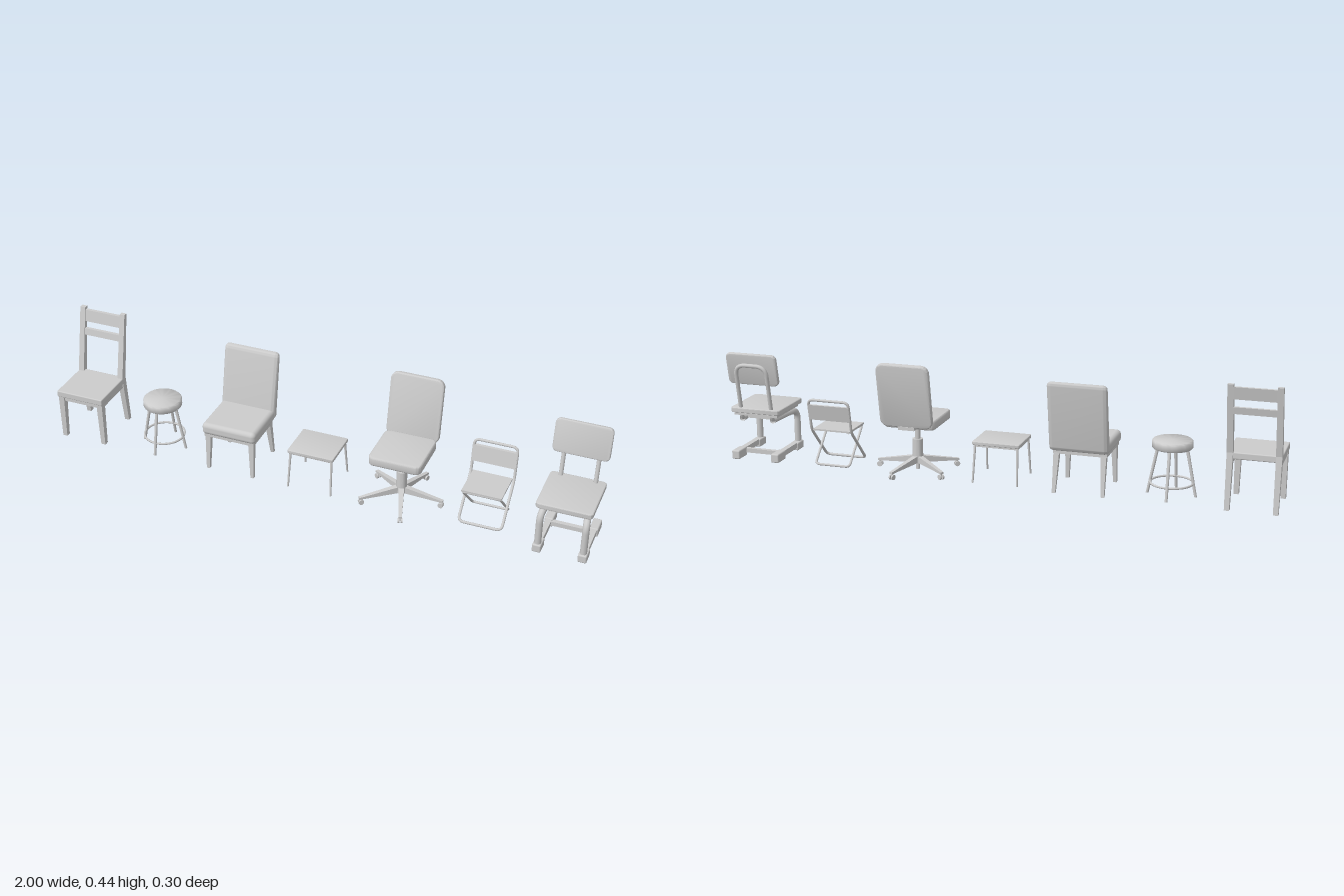
import * as THREE from 'three';
import { RoundedBoxGeometry } from 'three/addons/geometries/RoundedBoxGeometry.js';
import { toCreasedNormals } from 'three/addons/utils/BufferGeometryUtils.js';

const mat = new THREE.MeshStandardMaterial({ color: 0xcccccc, side: THREE.DoubleSide });
const V = (p) => new THREE.Vector3(...p);

function add(g, name, geo, pos = [0, 0, 0], rx = 0) {
  const m = new THREE.Mesh(geo, mat);
  m.name = name;
  m.position.set(...pos);
  m.rotation.x = rx;
  g.add(m);
  return m;
}

const box = (g, name, x, y, z, w, h, d) => add(g, name, new THREE.BoxGeometry(w, h, d), [x, y, z]);

// Upright member from a (bottom) to b (top) with level ends and its own size at each end
function strut(g, name, a, b, sa, sb, round = false) {
  const geo = round ? new THREE.CylinderGeometry(0.5, 0.5, 1, 16) : new THREE.BoxGeometry(1, 1, 1);
  const p = geo.attributes.position;
  for (let i = 0; i < p.count; i++) {
    const up = p.getY(i) > 0, c = up ? b : a, s = up ? sb : sa;
    p.setXYZ(i, c[0] + p.getX(i) * s[0], c[1], c[2] + p.getZ(i) * s[1]);
  }
  geo.computeVertexNormals();
  return add(g, name, geo);
}

// Bent pipe: straight runs joined by rounded corners of radius c
function pipe(g, name, pts, r, c = 0.02, closed = false) {
  const P = pts.map(V), n = P.length, path = new THREE.CurvePath();
  const toward = (i, j) => {
    const d = P[j].clone().sub(P[i]), l = d.length();
    return P[i].clone().addScaledVector(d, Math.min(c, l * 0.49) / l);
  };
  let last = closed ? toward(0, 1) : P[0];
  const corners = [];
  for (let i = 1; i < (closed ? n : n - 1); i++) corners.push(i);
  if (closed) corners.push(0);
  for (const i of corners) {
    const s = toward(i, (i + n - 1) % n), e = toward(i, (i + 1) % n);
    path.add(new THREE.LineCurve3(last, s));
    path.add(new THREE.QuadraticBezierCurve3(s, P[i], e));
    last = e;
  }
  if (!closed) path.add(new THREE.LineCurve3(last, P[n - 1]));
  return add(g, name, new THREE.TubeGeometry(path, 120, r, 10, closed));
}

// Rounded rectangle w x h, centred, thickness t along z with softened edges
function slab(w, h, t, r, bevel) {
  const x = w / 2 - bevel, y = h / 2 - bevel, q = Math.max(r - bevel, 0.001), s = new THREE.Shape();
  s.absarc(x - q, y - q, q, 0, Math.PI / 2);
  s.absarc(-x + q, y - q, q, Math.PI / 2, Math.PI);
  s.absarc(-x + q, -y + q, q, Math.PI, Math.PI * 1.5);
  s.absarc(x - q, -y + q, q, Math.PI * 1.5, Math.PI * 2);
  const geo = new THREE.ExtrudeGeometry(s, {
    depth: t - 2 * bevel, bevelSize: bevel, bevelThickness: bevel, bevelSegments: 3, curveSegments: 8 });
  geo.translate(0, 0, bevel - t / 2);
  return toCreasedNormals(geo, 0.6);
}

// Four legs mirrored in x; front and rear run from foot [x, z] to top [x, z]
function legs(g, front, rear, h, sa, sb, round) {
  for (const s of [-1, 1]) for (const [name, l] of [['frontLeg', front], ['rearLeg', rear]])
    strut(g, name, [s * l[0], 0, l[1]], [s * l[2], h, l[3]], sa, sb, round);
}

function woodenChair(g) {
  add(g, 'seat', new RoundedBoxGeometry(0.184, 0.024, 0.18, 2, 0.004), [0, 0.183, 0.009]);
  for (const s of [-1, 1]) {
    strut(g, 'frontLeg', [s * 0.08, 0, 0.083], [s * 0.078, 0.172, 0.083], [0.017, 0.018], [0.022, 0.024]);
    strut(g, 'rearLeg', [s * 0.081, 0, -0.1], [s * 0.081, 0.195, -0.075], [0.017, 0.018], [0.021, 0.024]);
    strut(g, 'backPost', [s * 0.081, 0.195, -0.075], [s * 0.081, 0.437, -0.122], [0.021, 0.024], [0.02, 0.016]);
    box(g, 'sideApron', s * 0.08, 0.163, 0.004, 0.014, 0.018, 0.16);
  }
  box(g, 'frontApron', 0, 0.163, 0.083, 0.15, 0.018, 0.014);
  // Back rails follow the lean of the posts
  for (const [y0, y1] of [[0.385, 0.428], [0.333, 0.357]]) {
    const z = (y) => -0.075 - (y - 0.195) * 0.194;
    strut(g, 'backRail', [0, y0, z(y0)], [0, y1, z(y1)], [0.15, 0.012], [0.15, 0.012]);
  }
}

function roundStool(g) {
  const seat = [[0, 0.168], [0.066, 0.168], [0.07, 0.172], [0.07, 0.193], [0.066, 0.197], [0, 0.197]];
  add(g, 'seat', toCreasedNormals(new THREE.LatheGeometry(seat.map((p) => new THREE.Vector2(...p)), 40), 0.9));
  for (let i = 0; i < 4; i++) {
    const x = Math.round(Math.cos(i * Math.PI / 2)), z = Math.round(Math.sin(i * Math.PI / 2));
    strut(g, 'leg', [x * 0.084, 0, z * 0.084], [x * 0.05, 0.17, z * 0.05], [0.01, 0.01], [0.012, 0.012], true);
  }
  add(g, 'footRing', new THREE.TorusGeometry(0.073, 0.004, 8, 40), [0, 0.045, 0], Math.PI / 2);
}

function paddedChair(g) {
  add(g, 'seatCushion', new RoundedBoxGeometry(0.206, 0.045, 0.185, 4, 0.016), [0, 0.168, 0.001]);
  box(g, 'seatFrame', 0, 0.143, 0, 0.19, 0.014, 0.17);
  // Backrest thins and leans back toward the top
  const back = new RoundedBoxGeometry(0.208, 0.25, 0.04, 4, 0.015);
  const p = back.attributes.position;
  for (let i = 0; i < p.count; i++) {
    const t = p.getY(i) / 0.25 + 0.5;
    p.setZ(i, p.getZ(i) * (1 - 0.45 * t) - 0.088 - 0.047 * t);
  }
  add(g, 'backrest', toCreasedNormals(back, 0.6), [0, 0.275, 0]);
  legs(g, [0.086, 0.08, 0.083, 0.072], [0.086, -0.1, 0.083, -0.075], 0.14, [0.012, 0.012], [0.02, 0.02]);
}

function lowStool(g) {
  add(g, 'seat', slab(0.172, 0.15, 0.013, 0.006, 0.003), [0, 0.141, 0], Math.PI / 2);
  for (const s of [-1, 1]) {
    box(g, 'sideApron', s * 0.075, 0.131, 0, 0.007, 0.009, 0.13);
    box(g, 'crossApron', 0, 0.131, s * 0.062, 0.15, 0.009, 0.007);
  }
  legs(g, [0.081, 0.082, 0.077, 0.064], [0.081, -0.082, 0.077, -0.064], 0.137, [0.007, 0.007], [0.009, 0.009], true);
}

function swivelChair(g) {
  add(g, 'seat', slab(0.19, 0.19, 0.034, 0.022, 0.006), [0, 0.193, 0.001], Math.PI / 2);
  add(g, 'backrest', slab(0.194, 0.238, 0.019, 0.028, 0.005), [0, 0.303, -0.124], -0.185);
  box(g, 'backBracket', 0, 0.183, -0.09, 0.06, 0.012, 0.05);
  box(g, 'seatMount', 0, 0.172, 0, 0.07, 0.012, 0.07);
  const col = [[0, 0.004], [0.007, 0.004], [0.007, 0.03], [0.019, 0.03], [0.019, 0.117], [0.01, 0.117], [0.01, 0.176], [0, 0.176]];
  add(g, 'column', toCreasedNormals(new THREE.LatheGeometry(col.map((p) => new THREE.Vector2(...p)), 24), 0.5));
  // Five-armed base: each arm tapers toward its caster
  const arm = new THREE.BoxGeometry(0.15, 0.03, 0.02);
  const p = arm.attributes.position;
  for (let i = 0; i < p.count; i++) {
    const out = p.getX(i) > 0, up = p.getY(i) > 0;
    p.setY(i, out ? (up ? 0.029 : 0.022) : (up ? 0.056 : 0.03));
    p.setX(i, p.getX(i) + 0.078);
    if (out) p.setZ(i, p.getZ(i) * 0.6);
  }
  arm.computeVertexNormals();
  for (let i = 0; i < 5; i++) {
    const spoke = new THREE.Group();
    spoke.name = 'baseArm';
    spoke.rotation.y = i * Math.PI * 0.4;
    add(spoke, 'arm', arm);
    add(spoke, 'casterStem', new THREE.CylinderGeometry(0.003, 0.003, 0.016, 8), [0.146, 0.018, 0]);
    for (const s of [-1, 1])
      add(spoke, 'casterWheel', new THREE.CylinderGeometry(0.0095, 0.0095, 0.006, 16), [0.146, 0.0095, s * 0.005], Math.PI / 2);
    g.add(spoke);
  }
}

function foldingChair(g) {
  const x = 0.077, w = 0.066;
  // Outer loop forms front foot and back; inner loop forms rear foot and seat front
  pipe(g, 'backFrame', [[-x, 0.006, 0.061], [-x, 0.135, -0.066], [-x, 0.251, -0.09],
    [x, 0.251, -0.09], [x, 0.135, -0.066], [x, 0.006, 0.061]], 0.005, 0.02, true);
  pipe(g, 'seatFrame', [[-w, 0.006, -0.066], [-w, 0.13, 0.06], [w, 0.13, 0.06], [w, 0.006, -0.066]], 0.0045, 0.016, true);
  for (const s of [-1, 1])
    pipe(g, 'seatRail', [[s * w, 0.13, 0.06], [s * w, 0.132, 0], [s * w, 0.132, -0.066]], 0.004, 0.01);
  box(g, 'seat', 0, 0.135, -0.002, 0.142, 0.006, 0.132);
  strut(g, 'backPanel', [0, 0.175, -0.074], [0, 0.232, -0.086], [0.156, 0.011], [0.156, 0.011]);
}

function schoolChair(g) {
  add(g, 'seat', slab(0.194, 0.205, 0.019, 0.014, 0.004), [0, 0.186, 0.018], Math.PI / 2);
  box(g, 'seatTray', 0, 0.17, 0.016, 0.17, 0.008, 0.18);
  add(g, 'backrest', slab(0.196, 0.12, 0.015, 0.018, 0.004), [0, 0.344, -0.083], -0.2);
  for (const s of [-1, 1]) {
    // Front upright bends back under the seat
    pipe(g, 'sideFrame', [[s * 0.078, 0.02, 0.11], [s * 0.078, 0.152, 0.11], [s * 0.066, 0.152, 0.03],
      [s * 0.06, 0.152, -0.06]], 0.012, 0.038);
    box(g, 'runner', s * 0.078, 0.021, 0.015, 0.021, 0.02, 0.2);
    add(g, 'frontFoot', new RoundedBoxGeometry(0.031, 0.03, 0.052, 2, 0.005), [s * 0.078, 0.016, 0.101]);
    add(g, 'rearFoot', new RoundedBoxGeometry(0.031, 0.033, 0.064, 2, 0.005), [s * 0.078, 0.018, -0.062]);
  }
  // Arched pipe carries the backrest
  pipe(g, 'backArch', [[-0.06, 0.152, -0.045], [-0.06, 0.154, -0.062], [-0.06, 0.36, -0.101],
    [0.06, 0.36, -0.101], [0.06, 0.154, -0.062], [0.06, 0.152, -0.045]], 0.0075, 0.04);
  box(g, 'footCrossbar', 0, 0.021, -0.03, 0.15, 0.016, 0.016);
  box(g, 'seatCrossbar', 0, 0.154, -0.03, 0.13, 0.014, 0.014);
  box(g, 'frontCrossbar', 0, 0.158, 0.06, 0.14, 0.012, 0.014);
}

export function createModel() {
  const model = new THREE.Group();
  model.name = 'chairCollection';
  const row = [
    ['woodenChair', woodenChair, -0.908], ['roundStool', roundStool, -0.619], ['paddedChair', paddedChair, -0.317],
    ['lowStool', lowStool, -0.012], ['swivelChair', swivelChair, 0.303], ['foldingChair', foldingChair, 0.608],
    ['schoolChair', schoolChair, 0.902],
  ];
  for (const [name, build, x] of row) {
    const g = new THREE.Group();
    g.name = name;
    g.position.x = x;
    build(g);
    model.add(g);
  }
  return model;
}
